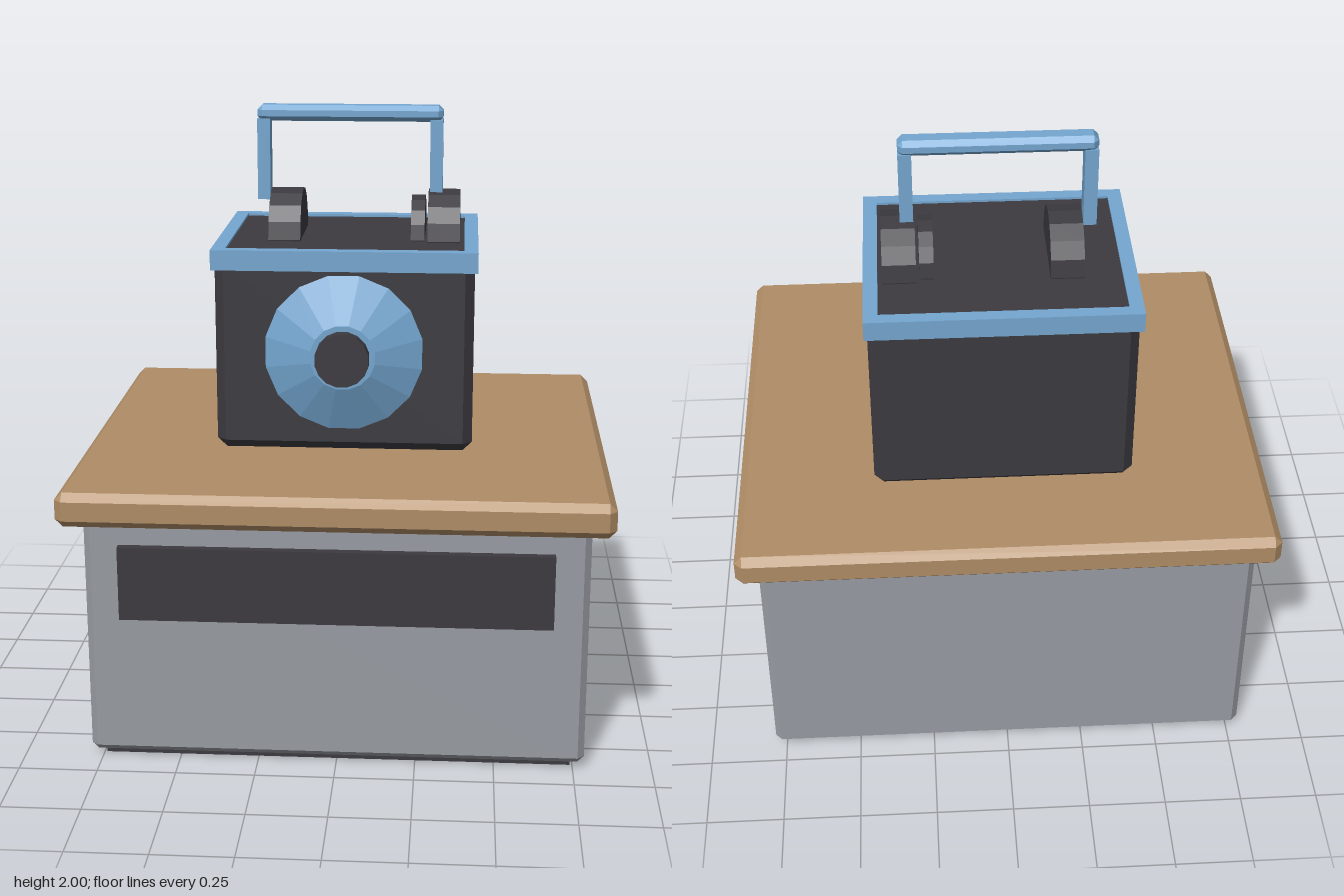
import * as THREE from 'three';
import { ConvexGeometry } from 'three/addons/geometries/ConvexGeometry.js';

const material = (name, color) => {
  const m = new THREE.MeshStandardMaterial({ color });
  m.name = name;
  m.flatShading = true;
  return m;
};

// Box with chamfered edges and corners: the hull of three inset corner sets
function chamferBox(w, h, d, c) {
  const points = [];
  for (const x of [-w / 2, w / 2]) for (const y of [-h / 2, h / 2]) for (const z of [-d / 2, d / 2]) {
    const ix = x - Math.sign(x) * c, iy = y - Math.sign(y) * c, iz = z - Math.sign(z) * c;
    points.push(new THREE.Vector3(x, iy, iz), new THREE.Vector3(ix, y, iz), new THREE.Vector3(ix, iy, z));
  }
  return new ConvexGeometry(points);
}

export function createModel() {
  const model = new THREE.Group();
  model.name = 'deviceOnCabinet';
  const grey = material('greyMetal', 0x989ba2);
  const wood = material('wood', 0xb08d66);
  const black = material('blackCasing', 0x3c3a40);
  const blue = material('blueTrim', 0x74a6d0);

  const add = (name, geometry, mat, x, y, z) => {
    const mesh = new THREE.Mesh(geometry, mat);
    mesh.name = name;
    mesh.position.set(x, y, z);
    model.add(mesh);
    return mesh;
  };
  // Box given by its limits, chamfered when c > 0
  const block = (name, mat, [x0, x1], [y0, y1], [z0, z1], c = 0) => {
    const size = [x1 - x0, y1 - y0, z1 - z0];
    const geometry = c ? chamferBox(...size, c) : new THREE.BoxGeometry(...size);
    return add(name, geometry, mat, (x0 + x1) / 2, (y0 + y1) / 2, (z0 + z1) / 2);
  };

  // Cabinet
  block('plinth', black, [-0.742, 0.742], [0, 0.06], [-0.655, 0.617]);
  block('cabinet', grey, [-0.785, 0.785], [0.022, 0.815], [-0.695, 0.658], 0.021);
  block('drawerPanel', black, [-0.675, 0.675], [0.488, 0.727], [0.64, 0.685]);
  block('tableTop', wood, [-0.85, 0.85], [0.813, 0.922], [-0.763, 0.763], 0.024);

  // Device body
  block('body', black, [-0.415, 0.415], [0.922, 1.572], [-0.435, 0.265], 0.03);

  // Rim frame around the top of the body
  const frame = new THREE.Shape([[-0.425, -0.27], [0.425, -0.27], [0.425, 0.45], [-0.425, 0.45]]
    .map(p => new THREE.Vector2(...p)));
  frame.holes.push(new THREE.Path([[-0.38, -0.228], [-0.38, 0.408], [0.38, 0.408], [0.38, -0.228]]
    .map(p => new THREE.Vector2(...p))));
  const rim = new THREE.ExtrudeGeometry(frame, { depth: 0.065, bevelEnabled: false });
  add('rim', rim.rotateX(-Math.PI / 2), blue, 0, 1.515, 0);

  // Lens cone and knob on the front
  const cone = new THREE.CylinderGeometry(0.105, 0.268, 0.07, 16).rotateY(Math.PI / 16).rotateX(Math.PI / 2);
  add('lensCone', cone, blue, 0, 1.25, 0.295);
  const knob = new THREE.CylinderGeometry(0.087, 0.087, 0.05, 16).rotateY(Math.PI / 16).rotateX(Math.PI / 2);
  add('lensKnob', knob, black, 0, 1.25, 0.346);

  // Wheels half sunk into the top
  const wheels = [['leftWheel', 0.312, 0.105, 0.15], ['rightWheel', -0.208, 0.105, 0.15], ['thinWheel', 0.227, 0.045, 0.13]];
  for (const [name, x, width, radius] of wheels) {
    const wheel = new THREE.CylinderGeometry(radius, radius, width, 16).rotateZ(Math.PI / 2);
    add(name, wheel, black, x, 1.576, -0.087);
  }

  // Carrying handle
  for (const [name, s] of [['leftHandlePost', 1], ['rightHandlePost', -1]]) {
    const post = block(name, blue, [-0.021, 0.021], [1.69, 1.955], [-0.117, -0.053]);
    post.position.x = s * 0.284;
  }
  block('handleGrip', blue, [-0.305, 0.305], [1.948, 2], [-0.122, -0.05], 0.016);

  return model;
}
